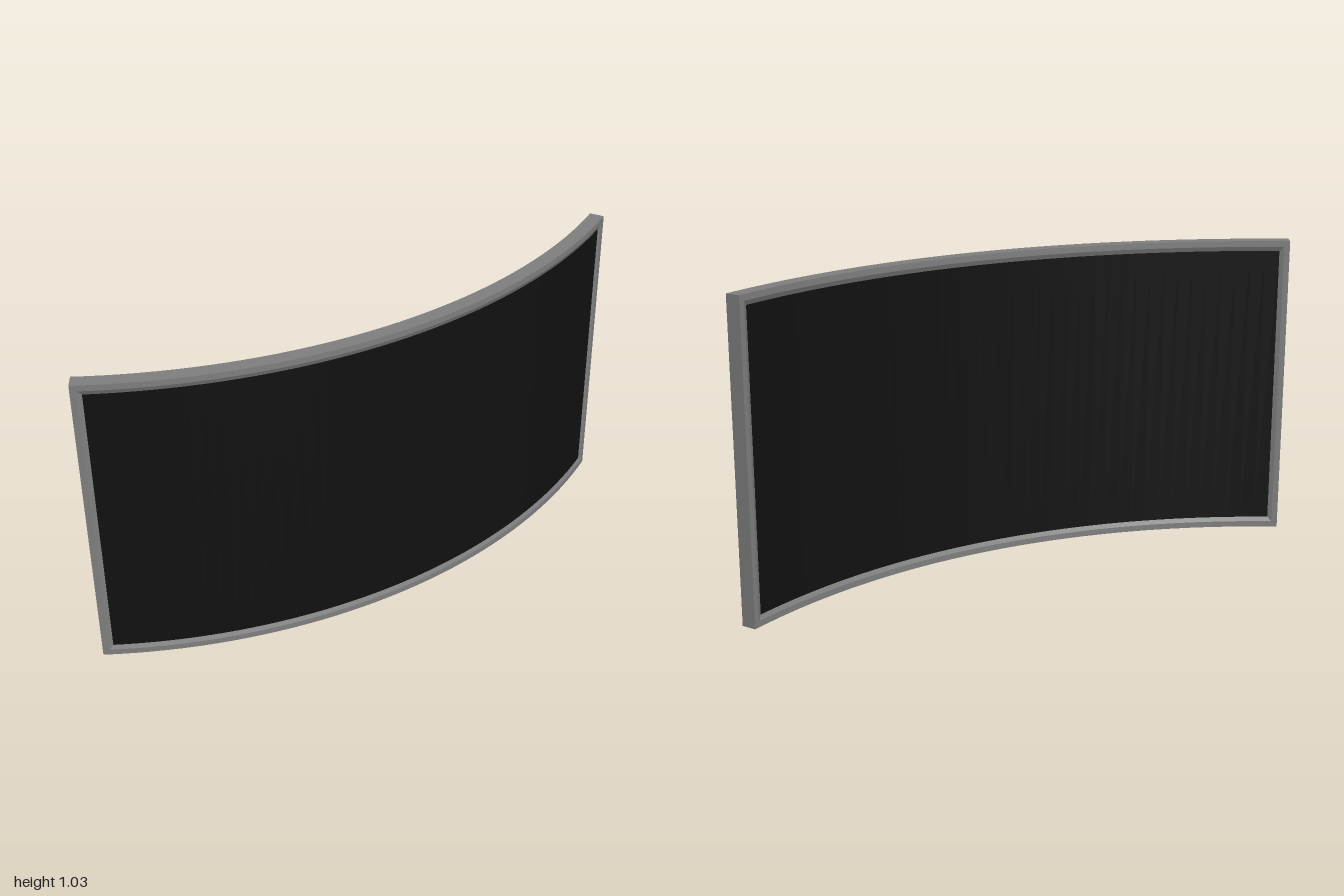
import * as THREE from 'three';

const HEIGHT = 1.032, HALF_ARC = Math.PI / 6; // panel spans 60 degrees
const R_OUT = 2, R_IN = 1.95, CENTRE_Z = -1.844;
const BORDER = 0.035, SEGMENTS = 40;

// Point on the bent slab: u in -1..1 along the width, inset from the rim, y and radius
function bend(u, v, inset, r) {
  const a = u * (HALF_ARC - inset / R_OUT);
  const y = HEIGHT / 2 + v * (HEIGHT / 2 - inset);
  return [r * Math.sin(a), y, CENTRE_Z + r * Math.cos(a)];
}

// Smooth strip between two edges, each given as a function of t in 0..1
function strip(edgeA, edgeB, steps, material) {
  const positions = [], index = [];
  for (let i = 0; i <= steps; i++) {
    positions.push(...edgeA(i / steps), ...edgeB(i / steps));
    if (i < steps) {
      const k = i * 2;
      index.push(k, k + 2, k + 3, k, k + 3, k + 1);
    }
  }
  const geometry = new THREE.BufferGeometry();
  geometry.setAttribute('position', new THREE.Float32BufferAttribute(positions, 3));
  geometry.setIndex(index);
  geometry.computeVertexNormals();
  return new THREE.Mesh(geometry, material);
}

export function createModel() {
  const model = new THREE.Group();
  model.name = 'curvedScreen';
  const frameMaterial = new THREE.MeshStandardMaterial({ color: 0x808080 });
  const screenMaterial = new THREE.MeshStandardMaterial({ color: 0x111111 });

  // Frame section as [inset, radius]: back bevel, back face, rim, front face, front bevel
  const section = [
    [BORDER, R_IN + 0.006], [0.02, R_IN], [0, R_IN],
    [0, R_OUT], [0.02, R_OUT], [BORDER, R_OUT - 0.006],
  ];
  // Four mitred rails, running anticlockwise as seen from the front
  const rails = [
    ['bottomRail', t => [2 * t - 1, -1], SEGMENTS],
    ['leftRail', t => [1, 2 * t - 1], 1],
    ['topRail', t => [1 - 2 * t, 1], SEGMENTS],
    ['rightRail', t => [-1, 1 - 2 * t], 1],
  ];
  for (const [name, path, steps] of rails) {
    const rail = new THREE.Group();
    rail.name = name;
    for (let i = 0; i < section.length - 1; i++) {
      const edge = p => t => bend(...path(t), ...p);
      const face = strip(edge(section[i]), edge(section[i + 1]), steps, frameMaterial);
      face.name = name + 'Face' + (i + 1);
      rail.add(face);
    }
    model.add(rail);
  }

  // Dark screen surfaces set into the frame on both sides
  const front = [-1, 1].map(v => t => bend(2 * t - 1, v, BORDER, R_OUT - 0.006));
  const back = [1, -1].map(v => t => bend(2 * t - 1, v, BORDER, R_IN + 0.006));
  const frontScreen = strip(...front, SEGMENTS, screenMaterial);
  frontScreen.name = 'frontScreen';
  const backScreen = strip(...back, SEGMENTS, screenMaterial);
  backScreen.name = 'backScreen';
  model.add(frontScreen, backScreen);
  return model;
}
